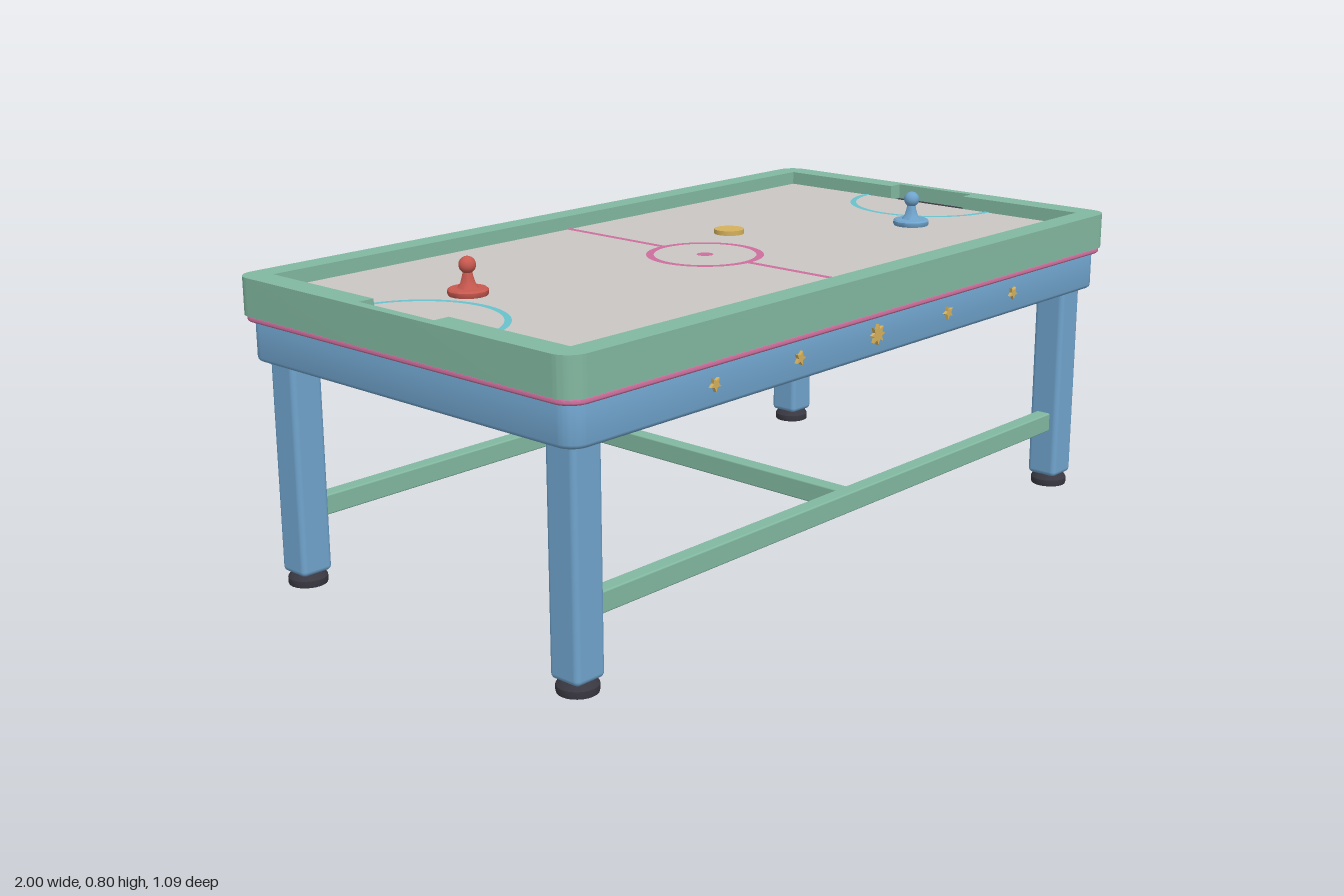
import * as THREE from 'three';
import { toCreasedNormals } from 'three/addons/utils/BufferGeometryUtils.js';
import { RoundedBoxGeometry } from 'three/addons/geometries/RoundedBoxGeometry.js';

const paint = (name, color) => {
  const m = new THREE.MeshStandardMaterial({ color });
  m.name = name;
  return m;
};

// Rectangle with rounded corners, centred on the origin
function roundedRect(hw, hd, r) {
  const s = new THREE.Shape();
  s.absarc(hw - r, hd - r, r, 0, Math.PI / 2);
  s.absarc(-hw + r, hd - r, r, Math.PI / 2, Math.PI);
  s.absarc(-hw + r, -hd + r, r, Math.PI, Math.PI * 1.5);
  s.absarc(hw - r, -hd + r, r, Math.PI * 1.5, Math.PI * 2);
  s.closePath();
  return s;
}

// Horizontal slab from y0 to y1; the bevel stays inside the outline
function slab(shape, y0, y1, bevel = 0) {
  const g = new THREE.ExtrudeGeometry(shape, {
    depth: y1 - y0 - 2 * bevel, curveSegments: 8, bevelEnabled: bevel > 0,
    bevelSize: bevel, bevelThickness: bevel, bevelOffset: -bevel, bevelSegments: 3,
  });
  g.rotateX(-Math.PI / 2).translate(0, y0 + bevel, 0);
  return toCreasedNormals(g, 0.7);
}

function starGeometry(points, outer, inner) {
  const pts = [];
  for (let i = 0; i < points * 2; i++) {
    const a = Math.PI / 2 + (i * Math.PI) / points, r = i % 2 ? inner : outer;
    pts.push(new THREE.Vector2(Math.cos(a) * r, Math.sin(a) * r));
  }
  return new THREE.ExtrudeGeometry(new THREE.Shape(pts), { depth: 0.009, bevelEnabled: false });
}

export function createModel() {
  const root = new THREE.Group();
  root.name = 'airHockeyTable';
  const green = paint('railGreen', 0x82b8a0), blue = paint('bodyBlue', 0x70a4cd);
  const pink = paint('linePink', 0xcc6e9c), cyan = paint('goalCyan', 0x68c2cc);
  const grey = paint('surfaceGrey', 0xcac6c3), dark = paint('rubberDark', 0x3a3842);
  const red = paint('malletRed', 0xc8594f), gold = paint('gold', 0xd4b05c);

  const add = (name, geo, mat, x = 0, y = 0, z = 0, parent = root) => {
    const m = new THREE.Mesh(geo, mat);
    m.name = name;
    m.position.set(x, y, z);
    parent.add(m);
    return m;
  };

  // Cabinet and trim
  add('cabinet', slab(roundedRect(0.98, 0.53, 0.045), 0.55, 0.65, 0.01), blue);
  add('trim', slab(roundedRect(0.995, 0.543, 0.05), 0.645, 0.66, 0.006), pink);

  // Rail frame, its opening notched at both ends for the goals
  const floorY = 0.715, ix = 0.935, iz = 0.484, gx = 0.975, gz = 0.123;
  const frame = roundedRect(1, 0.546, 0.05);
  frame.holes.push(new THREE.Path([
    [ix, iz], [ix, gz], [gx, gz], [gx, -gz], [ix, -gz], [ix, -iz],
    [-ix, -iz], [-ix, -gz], [-gx, -gz], [-gx, gz], [-ix, gz], [-ix, iz],
  ].map(([x, y]) => new THREE.Vector2(x, y))));
  add('rail', slab(frame, 0.66, 0.75), green);
  add('playingSurface', new THREE.BoxGeometry(ix * 2, floorY - 0.655, iz * 2), grey, 0, (floorY + 0.655) / 2, 0);

  // Painted markings
  const markY = floorY + 0.002;
  const flat = (g) => g.rotateX(-Math.PI / 2);
  add('centreCircle', flat(new THREE.RingGeometry(0.127, 0.146, 48)), pink, 0, markY, 0);
  add('centreDot', flat(new THREE.CircleGeometry(0.021, 24)), pink, 0, markY, 0);
  for (const s of [-1, 1]) {
    add('centreLine', flat(new THREE.PlaneGeometry(0.018, iz - 0.14)), pink, 0, markY, s * (iz + 0.14) / 2);
    const start = s > 0 ? Math.PI / 2 : -Math.PI / 2;
    add('goalArc', flat(new THREE.RingGeometry(0.197, 0.213, 40, 1, start, Math.PI)), cyan, s * ix, markY, 0);
    add('goalSlot', new THREE.BoxGeometry(gx - ix, 0.05, gz * 2), dark, s * (ix + gx) / 2, 0.685, 0);
  }

  // Gold stars on both long sides
  const smallStar = starGeometry(5, 0.017, 0.008), bigStar = starGeometry(8, 0.025, 0.014);
  for (const side of [0, 1]) {
    const row = new THREE.Group();
    row.name = side ? 'backStars' : 'frontStars';
    row.rotation.y = side * Math.PI;
    root.add(row);
    [-0.565, -0.283, 0, 0.283, 0.565].forEach((x) => {
      const star = add('star', x ? smallStar : bigStar, gold, x, 0.604, 0.529, row);
      star.rotation.z = x * 1.2;
    });
  }

  // Legs and rubber feet
  const lx = 0.907, lz = 0.457;
  const legGeo = new RoundedBoxGeometry(0.085, 0.54, 0.085, 3, 0.013);
  const footGeo = toCreasedNormals(new THREE.LatheGeometry(
    [[0, 0], [0.046, 0], [0.047, 0.004], [0.047, 0.017], [0.037, 0.032], [0, 0.032]]
      .map(([r, y]) => new THREE.Vector2(r, y)), 24), 0.5);
  for (const sx of [-1, 1]) for (const sz of [-1, 1]) {
    add('leg', legGeo, blue, sx * lx, 0.299, sz * lz);
    add('foot', footGeo, dark, sx * lx, 0, sz * lz);
  }

  // Stretchers joined in an H
  for (const sz of [-1, 1])
    add('longStretcher', new RoundedBoxGeometry(1.76, 0.05, 0.04, 2, 0.004), green, 0, 0.183, sz * lz);
  add('crossStretcher', new RoundedBoxGeometry(0.04, 0.05, 0.9, 2, 0.004), green, 0, 0.183, 0);

  // Mallets: dished base, flared neck and round knob
  const malletPts = [[0, 0], [0.045, 0], [0.047, 0.004], [0.047, 0.012], [0.043, 0.016],
    [0.024, 0.017], [0.017, 0.028], [0.013, 0.042], [0.01, 0.056], [0, 0.056]];
  const malletGeo = toCreasedNormals(new THREE.LatheGeometry(
    malletPts.map(([r, y]) => new THREE.Vector2(r, y)), 32), 0.6);
  const knobGeo = new THREE.SphereGeometry(0.02, 24, 16);
  for (const [name, mat, x, z] of [['redMallet', red, -0.675, -0.113], ['blueMallet', blue, 0.655, 0.15]]) {
    const mallet = new THREE.Group();
    mallet.name = name;
    mallet.position.set(x, floorY, z);
    root.add(mallet);
    add('malletBase', malletGeo, mat, 0, 0, 0, mallet);
    add('malletKnob', knobGeo, mat, 0, 0.069, 0, mallet);
  }

  // Puck
  add('puck', new THREE.CylinderGeometry(0.039, 0.039, 0.012, 32), gold, 0.243, floorY + 0.007, -0.133);
  return root;
}
